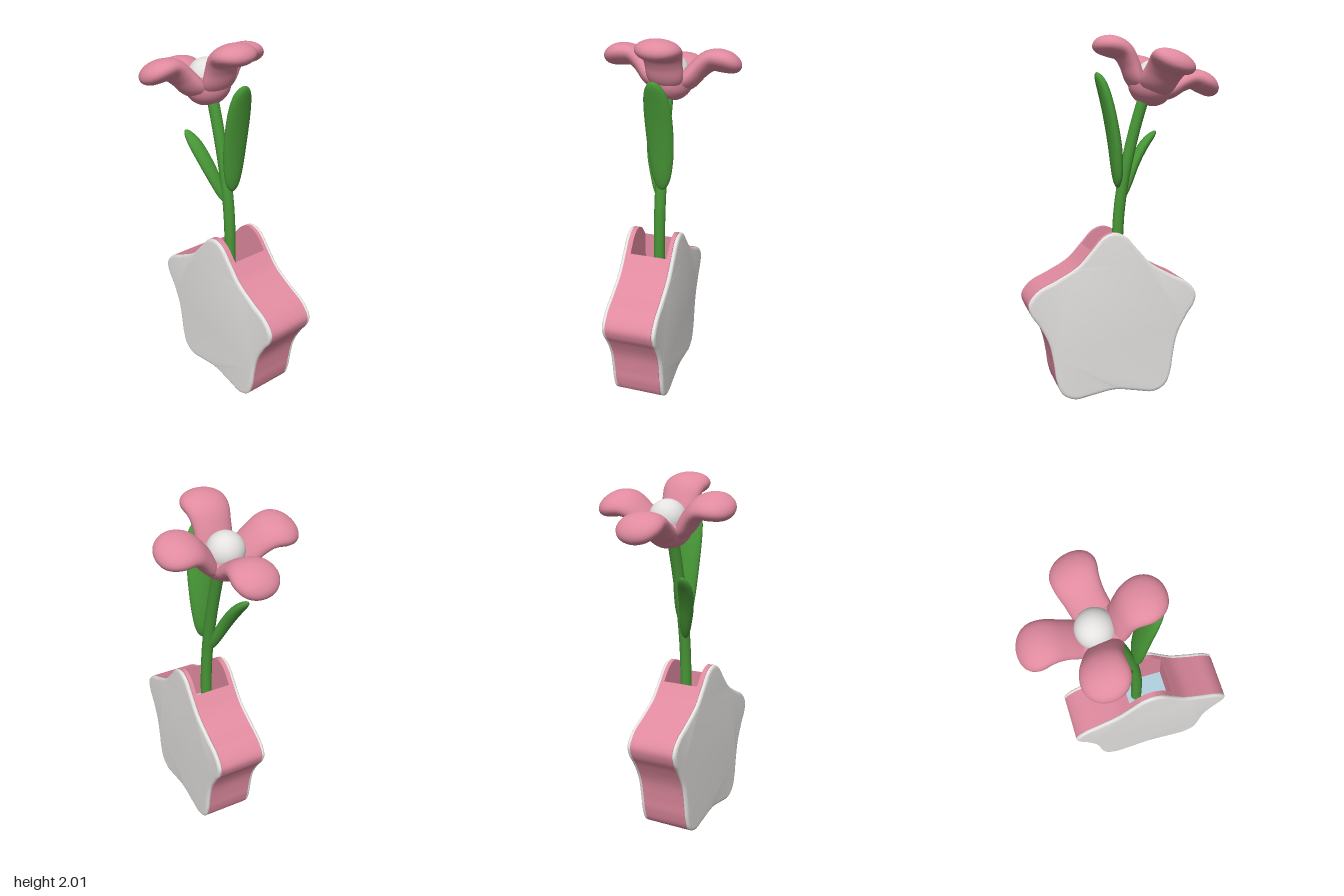
import * as THREE from 'three';
import { toCreasedNormals } from 'three/addons/utils/BufferGeometryUtils.js';

const material = (name, color) => {
  const m = new THREE.MeshStandardMaterial({ color });
  m.name = name;
  return m;
};

const V = (x, y, z = 0) => new THREE.Vector3(x, y, z);

// Puffy lofted form: points are [x, y, z, half width, half thickness],
// the width runs along z and both ends are rounded
function loft(points, roundness = 4, rings = 36, sides = 28) {
  const path = new THREE.CatmullRomCurve3(points.map(p => V(p[0], p[1], p[2])));
  path.curveType = 'catmullrom';
  const size = new THREE.CatmullRomCurve3(points.map(p => V(p[3], p[4])));
  size.curveType = 'catmullrom';
  const pos = [], index = [];
  for (let i = 0; i <= rings; i++) {
    const t = (1 - Math.cos(Math.PI * i / rings)) / 2;
    const cap = Math.sqrt(Math.max(0, 1 - Math.pow(Math.abs(2 * t - 1), roundness)));
    const c = path.getPoint(t), s = size.getPoint(t).multiplyScalar(cap);
    const T = path.getTangent(t);
    const W = V(0, 0, 1).addScaledVector(T, -T.z).normalize();
    const N = T.clone().cross(W);
    for (let j = 0; j < sides; j++) {
      const a = 2 * Math.PI * j / sides;
      const p = c.clone().addScaledVector(W, s.x * Math.cos(a)).addScaledVector(N, s.y * Math.sin(a));
      pos.push(p.x, p.y, p.z);
      if (i < rings) {
        const k = i * sides + j, l = i * sides + (j + 1) % sides;
        index.push(k, l, k + sides, l, l + sides, k + sides);
      }
    }
  }
  const g = new THREE.BufferGeometry();
  g.setAttribute('position', new THREE.Float32BufferAttribute(pos, 3));
  g.setIndex(index);
  g.computeVertexNormals();
  return g;
}

export function createModel() {
  const pink = material('pink', 0xe08a9f);
  const white = material('white', 0xe4e2e0);
  const green = material('green', 0x479636);
  const blue = material('water blue', 0xb2d2e0);

  const model = new THREE.Group();
  const add = (name, geometry, mat, parent = model) => {
    const mesh = new THREE.Mesh(geometry, mat);
    mesh.name = name;
    parent.add(mesh);
    return mesh;
  };

  // Rounded star outline, mirrored about its own centre line
  const cx = 0.075, rimY = 0.84, waterY = 0.62, notch = 0.13;
  const half = [
    [0.06, 0.915], [0.13, 0.84], [0.21, 0.755], [0.32, 0.69], [0.43, 0.632], [0.48, 0.565],
    [0.468, 0.505], [0.425, 0.44], [0.37, 0.33], [0.345, 0.21], [0.332, 0.12],
    [0.3, 0.04], [0.23, 0.004], [0.13, 0.018],
  ];
  const outline = new THREE.CatmullRomCurve3([
    V(cx, 0.935),
    ...half.map(([x, y]) => V(cx + x, y)),
    V(cx, 0.038),
    ...half.slice().reverse().map(([x, y]) => V(cx - x, y)),
  ], true).getPoints(160).slice(0, -1).map(p => new THREE.Vector2(p.x, Math.max(p.y, 0)));

  const slab = (points, z0, z1, bevel = 0) => {
    const g = new THREE.ExtrudeGeometry(new THREE.Shape(points), {
      depth: z1 - z0 - 2 * bevel, bevelEnabled: bevel > 0, bevelThickness: bevel,
      bevelSize: bevel * 1.6, bevelOffset: -bevel * 1.6, bevelSegments: 5,
    });
    g.translate(0, 0, z0 + bevel);
    return toCreasedNormals(g, 0.6);
  };

  // Vase: star body with an open pocket at the top, closed by two walls
  const vase = new THREE.Group();
  vase.name = 'vase';
  model.add(vase);
  const pocket = [
    new THREE.Vector2(cx - notch, rimY), new THREE.Vector2(cx - notch, waterY),
    new THREE.Vector2(cx + notch, waterY), new THREE.Vector2(cx + notch, rimY),
  ];
  const lower = outline.filter(p => p.y < rimY - 0.001);
  add('vaseBody', slab([...pocket, ...lower], -0.1, 0.11), pink, vase);
  add('frontWall', slab(outline, 0.11, 0.137), pink, vase);
  add('backWall', slab(outline, -0.122, -0.1), pink, vase);
  add('frontPlate', slab(outline, 0.131, 0.158, 0.012), white, vase);
  add('backPlate', slab(outline, -0.145, -0.118, 0.012), white, vase);
  add('water', new THREE.BoxGeometry(notch * 2, 0.008, 0.21), blue, vase)
    .position.set(cx, waterY + 0.004, 0.005);

  // Stem
  const stem = new THREE.CatmullRomCurve3([
    V(0.02, waterY), V(0.021, 0.9), V(0.005, 1.1), V(-0.035, 1.32), V(-0.085, 1.52), V(-0.13, 1.67),
  ]);
  add('stem', new THREE.TubeGeometry(stem, 48, 0.032, 20), green);

  // Leaves
  add('largeLeaf', loft([
    [0.025, 1.17, -0.015, 0.05, 0.03], [0.028, 1.27, -0.015, 0.06, 0.034],
    [0.042, 1.42, -0.014, 0.073, 0.036], [0.074, 1.6, -0.01, 0.076, 0.034],
    [0.108, 1.73, -0.003, 0.066, 0.032], [0.142, 1.807, 0.005, 0.05, 0.03],
  ]), green);
  add('smallLeaf', loft([
    [-0.012, 1.1, 0.012, 0.03, 0.022], [-0.05, 1.2, 0.035, 0.036, 0.027],
    [-0.1, 1.31, 0.065, 0.042, 0.029], [-0.165, 1.41, 0.09, 0.042, 0.028],
    [-0.238, 1.484, 0.108, 0.034, 0.025],
  ]), green);

  // Flower head, tilted to one side
  const flower = new THREE.Group();
  flower.name = 'flower';
  flower.position.set(-0.134, 1.635, 0);
  flower.rotation.z = 0.34;
  model.add(flower);

  const cup = new THREE.SplineCurve([
    [0, 0], [0.055, 0.008], [0.1, 0.04], [0.125, 0.085], [0.128, 0.125], [0.105, 0.15], [0, 0.155],
  ].map(([x, y]) => new THREE.Vector2(x, y))).getPoints(36).map(p => p.setX(Math.max(p.x, 0)));
  add('flowerCup', new THREE.LatheGeometry(cup, 40), pink, flower);
  add('flowerCentre', new THREE.SphereGeometry(0.1, 36, 24), white, flower).position.y = 0.155;

  const petal = loft([
    [0.03, 0.07, 0, 0.1, 0.05], [0.1, 0.115, 0, 0.104, 0.052], [0.155, 0.18, 0, 0.104, 0.052],
    [0.215, 0.228, 0, 0.115, 0.056], [0.29, 0.23, 0, 0.126, 0.062], [0.382, 0.2, 0, 0.122, 0.062],
  ], 5);
  for (let i = 0; i < 4; i++) add('petal', petal, pink, flower).rotation.y = i * Math.PI / 2;

  return model;
}
